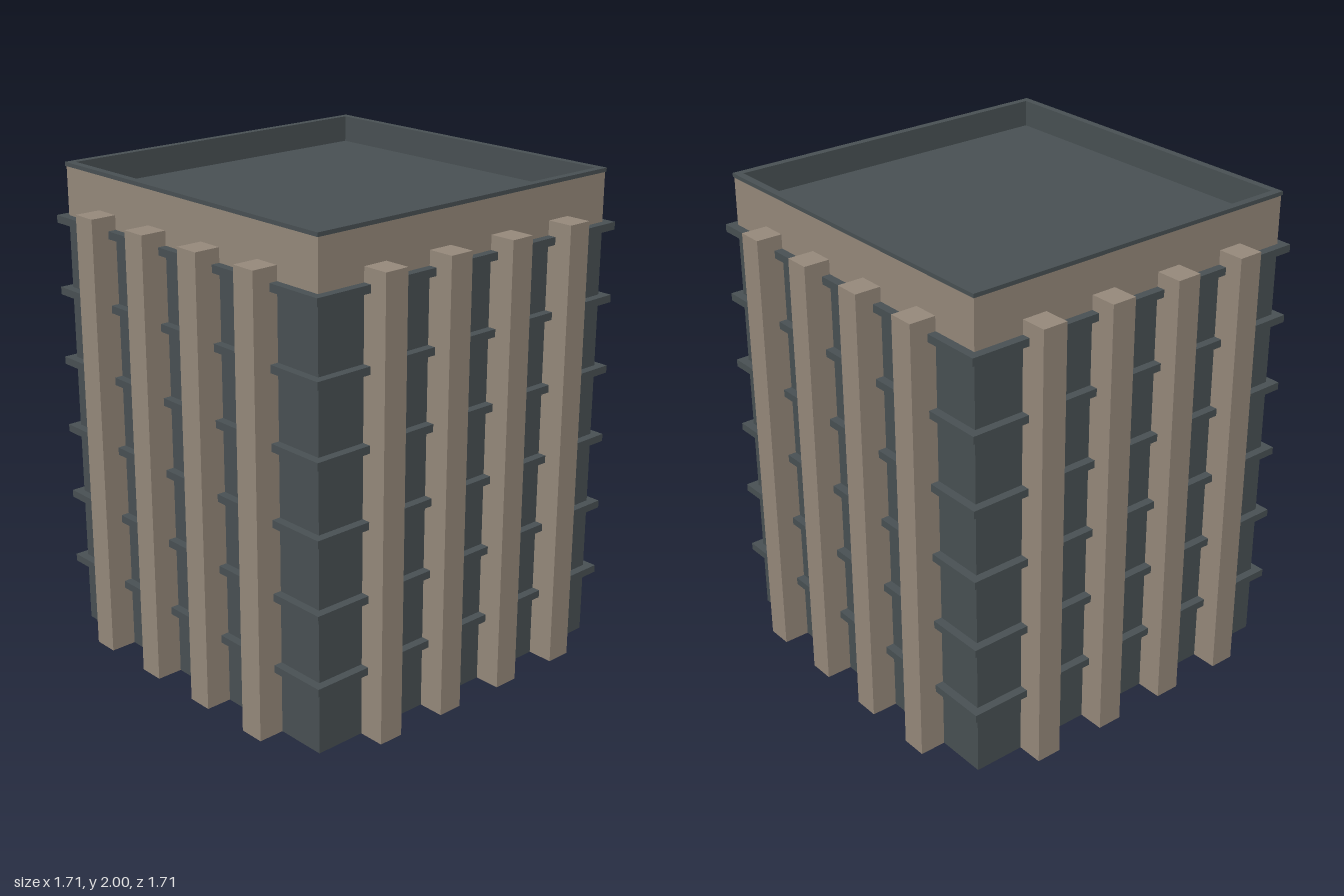
import * as THREE from 'three';

const WALL = 0.746, BAND = 0.781, PILLAR = 0.855;
const PILLAR_W = 0.106, PILLAR_H = 1.843, PILLAR_X = [-0.48, -0.16, 0.16, 0.48];
const FLOORS = 6, STOREY = 0.2975, BAND_H = 0.031;
const BODY_TOP = FLOORS * STOREY, RIM_Y = 1.984, ROOF_Y = 1.89;

// Sweep a profile of [half width, y] points around a square plan
function squareRing(profile) {
  const pts = profile.map(([r, y]) => new THREE.Vector2(r * Math.SQRT2, y));
  const g = new THREE.LatheGeometry(pts, 4, Math.PI / 4).toNonIndexed();
  g.computeVertexNormals();
  return g;
}

// Pillar shell: front, two sides and cap; open at the bottom and back
function pillarShell() {
  const depth = PILLAR - WALL;
  const g = new THREE.BoxGeometry(PILLAR_W, PILLAR_H, depth);
  const index = Array.from(g.index.array);
  g.setIndex([...index.slice(0, 18), ...index.slice(24, 30)]);
  g.clearGroups();
  g.translate(0, PILLAR_H / 2, WALL + depth / 2);
  return g;
}

export function createModel() {
  const stone = new THREE.MeshStandardMaterial({ color: 0x978a7c, side: THREE.DoubleSide });
  stone.name = 'stone';
  const slate = new THREE.MeshStandardMaterial({ color: 0x495154, side: THREE.DoubleSide });
  slate.name = 'slate';

  const model = new THREE.Group();
  model.name = 'officeBlock';
  const add = (parent, geometry, material, name) => {
    const mesh = new THREE.Mesh(geometry, material);
    mesh.name = name;
    parent.add(mesh);
    return mesh;
  };

  // Bays run between the pillars, out to the corners
  const edges = [-WALL, ...PILLAR_X.flatMap((x) => [x - PILLAR_W / 2, x + PILLAR_W / 2]), WALL];
  const pillar = pillarShell();
  const panelH = STOREY - BAND_H;

  ['front', 'left', 'back', 'right'].forEach((name, i) => {
    const side = new THREE.Group();
    side.name = name + 'Side';
    side.rotation.y = i * Math.PI / 2;
    model.add(side);

    for (const x of PILLAR_X) add(side, pillar, stone, 'pillar').position.x = x;

    // Wall panels, one per bay and storey
    for (let b = 0; b < edges.length; b += 2) {
      const panel = new THREE.PlaneGeometry(edges[b + 1] - edges[b], panelH);
      for (let f = 0; f < FLOORS; f++) {
        add(side, panel, slate, 'wallPanel').position.set(
          (edges[b] + edges[b + 1]) / 2, f * STOREY + panelH / 2, WALL);
      }
    }
  });

  // Projecting floor ledges, hollow towards the inside
  const ledge = squareRing([[WALL, -BAND_H], [BAND, -BAND_H], [BAND, 0], [WALL, 0]]);
  for (let f = 1; f <= FLOORS; f++) add(model, ledge, slate, 'floorLedge').position.y = f * STOREY;

  // Parapet, its coping and the sunken roof
  add(model, squareRing([[WALL, BODY_TOP], [WALL, RIM_Y]]), stone, 'parapet');
  add(model, squareRing([[WALL, RIM_Y], [0.75, RIM_Y], [0.75, 2], [0.719, 2], [0.719, ROOF_Y]]), slate, 'coping');
  const roof = add(model, new THREE.PlaneGeometry(1.438, 1.438), slate, 'roof');
  roof.rotation.x = -Math.PI / 2;
  roof.position.y = ROOF_Y;

  return model;
}
